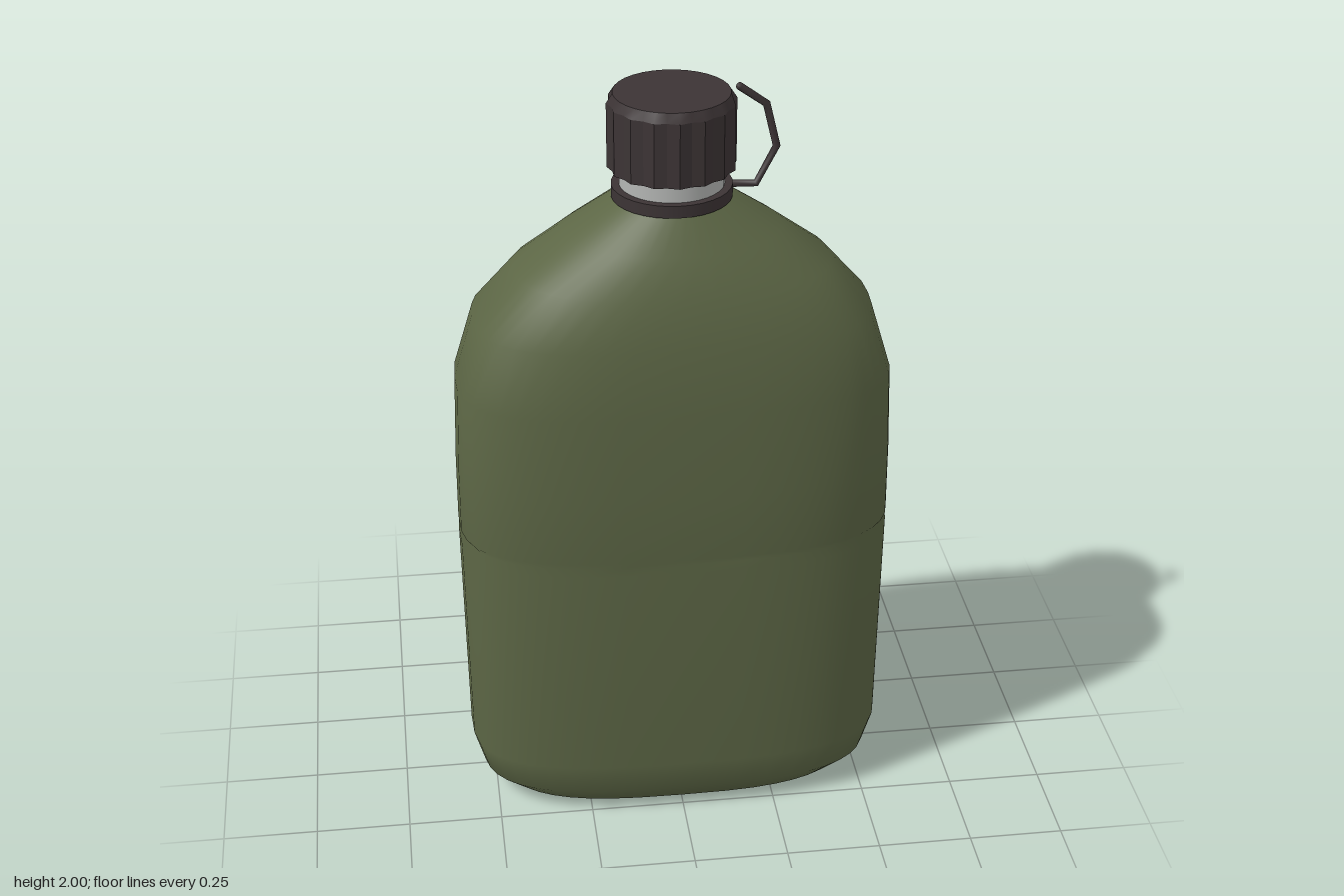
import * as THREE from 'three';

const olive = new THREE.MeshStandardMaterial({ color: 0x5c6645 });
olive.name = 'olive';
const darkBrown = new THREE.MeshStandardMaterial({ color: 0x3c3435 });
darkBrown.name = 'darkBrown';
const paleGrey = new THREE.MeshStandardMaterial({ color: 0xb4b6b4 });
paleGrey.name = 'paleGrey';

function addMesh(parent, name, geometry, material, y = 0) {
  const mesh = new THREE.Mesh(geometry, material);
  mesh.name = name;
  mesh.position.y = y;
  parent.add(mesh);
  return mesh;
}

// Closed ring of points around y: radii a (x) and b (z), squareness n (2 = ellipse)
function ring(y, a, b, n, sides) {
  const pts = [];
  for (let j = 0; j < sides; j++) {
    const t = (j / sides) * Math.PI * 2;
    const c = Math.cos(t), s = Math.sin(t);
    pts.push(new THREE.Vector3(
      a * Math.sign(c) * Math.abs(c) ** (2 / n), y,
      b * Math.sign(s) * Math.abs(s) ** (2 / n)));
  }
  return pts;
}

// Skin rings of equal length from bottom to top
function loft(rings) {
  const sides = rings[0].length, index = [];
  for (let i = 0; i < rings.length - 1; i++) {
    for (let j = 0; j < sides; j++) {
      const k = (j + 1) % sides;
      const a = i * sides + j, b = i * sides + k;
      index.push(a, a + sides, b, b, a + sides, b + sides);
    }
  }
  const g = new THREE.BufferGeometry().setFromPoints(rings.flat());
  g.setIndex(index);
  g.computeVertexNormals();
  return g;
}

// Flat lid over one ring
function lid(points, up) {
  const center = new THREE.Vector3(0, points[0].y, 0), tris = [];
  points.forEach((p, j) => {
    const q = points[(j + 1) % points.length];
    tris.push(center, ...(up ? [q, p] : [p, q]));
  });
  const g = new THREE.BufferGeometry().setFromPoints(tris);
  g.computeVertexNormals();
  return g;
}

export function createModel() {
  const model = new THREE.Group();
  model.name = 'canteen';

  // Flask body: y, half width, half depth, squareness
  const sections = [
    [0.00, 0.38, 0.185, 2.8], [0.02, 0.475, 0.24, 2.9], [0.07, 0.535, 0.272, 3],
    [0.165, 0.562, 0.291, 3], [0.78, 0.57, 0.297, 3], [0.80, 0.556, 0.287, 3],
    [0.82, 0.57, 0.297, 3], [1.00, 0.569, 0.296, 3], [1.235, 0.562, 0.292, 3],
    [1.41, 0.51, 0.275, 2.8], [1.535, 0.402, 0.242, 2.5], [1.63, 0.275, 0.2, 2.2],
    [1.72, 0.14, 0.14, 2],
  ];
  const rings = sections.map(([y, a, b, n]) => ring(y, a, b, n, 44));
  const body = new THREE.Group();
  body.name = 'body';
  addMesh(body, 'bodyShell', loft(rings), olive);
  addMesh(body, 'bodyBase', lid(rings[0], false), olive);
  model.add(body);

  // Neck and the collar that holds the strap
  addMesh(model, 'neck', new THREE.CylinderGeometry(0.132, 0.132, 0.12, 32), paleGrey, 1.76);
  addMesh(model, 'collar', new THREE.CylinderGeometry(0.152, 0.152, 0.032, 32), darkBrown, 1.731);

  // Fluted screw cap with a bevelled top
  const bumps = 16;
  const capRing = (y, r, depth) => ring(y, r, r, 2, bumps * 2)
    .map((p, j) => { if (j % 2) { p.x *= 1 - depth; p.z *= 1 - depth; } return p; });
  const low = capRing(1.795, 0.162, 0.05);
  const rim = capRing(1.962, 0.162, 0.05);
  const top = capRing(1.986, 0.146, 0);
  const cap = new THREE.Group();
  cap.name = 'cap';
  const flat = (g) => { const f = g.toNonIndexed(); f.computeVertexNormals(); return f; };
  addMesh(cap, 'capSide', flat(loft([low, rim])), darkBrown);
  addMesh(cap, 'capBevel', loft([rim, top]), darkBrown);
  addMesh(cap, 'capTop', lid(top, true), darkBrown);
  addMesh(cap, 'capUnderside', lid(low, false), darkBrown);
  model.add(cap);

  // Bent retaining strap, one tube joint at each listed point
  const path = [[0.13, 1.735], [0.212, 1.732], [0.262, 1.83], [0.235, 1.942], [0.168, 1.99]]
    .map(([x, y]) => new THREE.Vector3(x, y, 0));
  const curve = new THREE.CatmullRomCurve3(path);
  curve.getPointAt = (t) => curve.getPoint(t);
  curve.getTangentAt = (t) => curve.getTangent(t);
  const strap = new THREE.Group();
  strap.name = 'strap';
  addMesh(strap, 'strapLoop', new THREE.TubeGeometry(curve, path.length - 1, 0.01, 8), darkBrown);
  addMesh(strap, 'strapEnd', new THREE.SphereGeometry(0.01, 8, 6), darkBrown).position.copy(path[4]);
  model.add(strap);

  return model;
}
